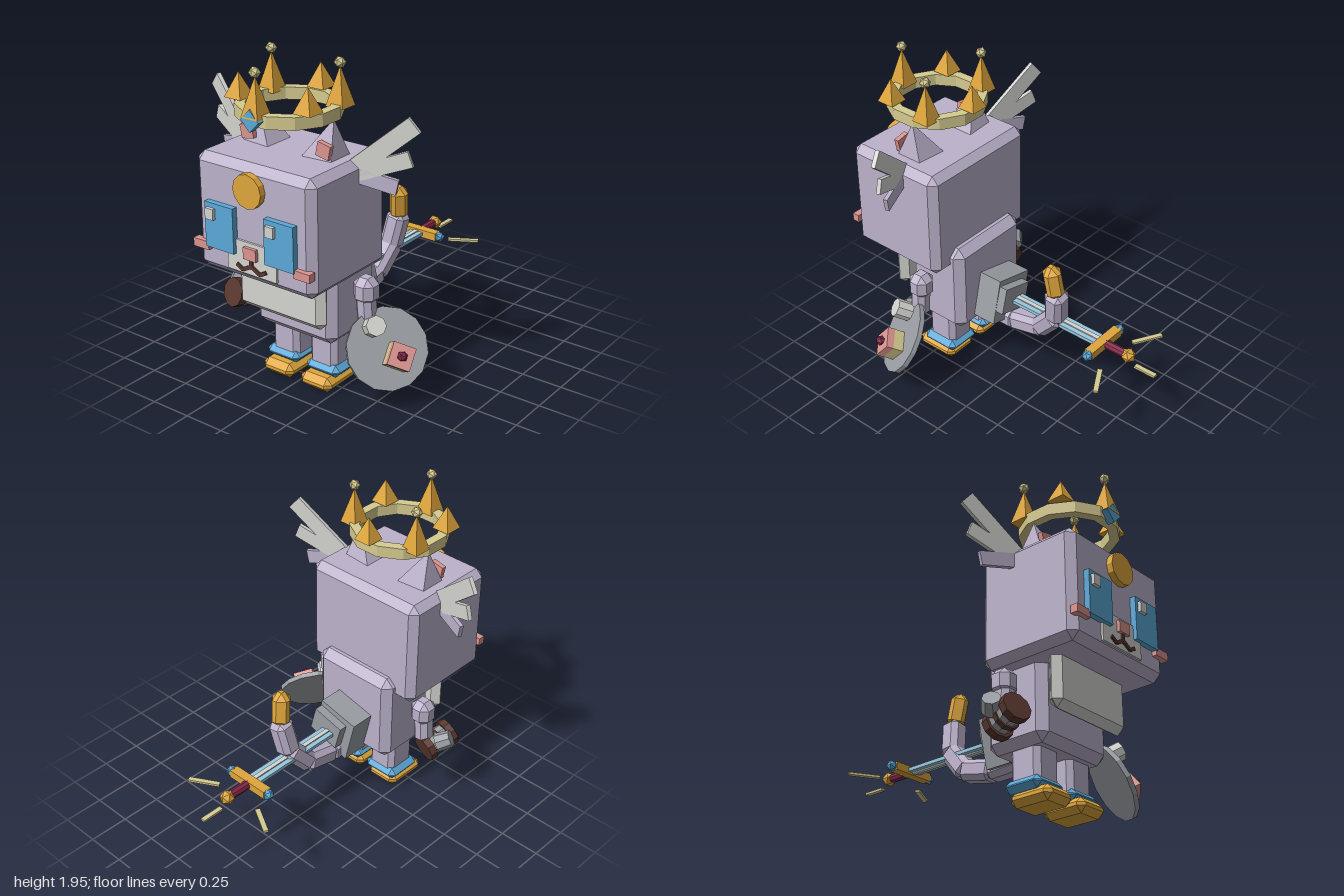
import * as THREE from 'three';
import { ConvexGeometry } from 'three/addons/geometries/ConvexGeometry.js';

const mat = (name, color) => {
  const m = new THREE.MeshStandardMaterial({ color });
  m.name = name;
  return m;
};
const V = (x, y, z) => new THREE.Vector3(x, y, z);
const UP = V(0, 1, 0);

// flat facets
const flat = (g) => {
  const f = g.index ? g.toNonIndexed() : g;
  f.computeVertexNormals();
  return f;
};
const box = (w, h, d) => new THREE.BoxGeometry(w, h, d);
const cyl = (r1, r2, h, n) => flat(new THREE.CylinderGeometry(r1, r2, h, n));
const gem = (r) => new THREE.IcosahedronGeometry(r, 0);
const pyramid = (side, h) => flat(new THREE.ConeGeometry(side / Math.SQRT2, h, 4).rotateY(Math.PI / 4));

// box with all edges cut at 45 degrees
function chamferBox(w, h, d, c) {
  const pts = [];
  const cut = Math.min(c, 0.48 * Math.min(w, h, d));
  for (const sx of [-1, 1]) for (const sy of [-1, 1]) for (const sz of [-1, 1]) {
    for (let keep = 0; keep < 3; keep++) {
      const k = [w / 2, h / 2, d / 2].map((v, i) => (i === keep ? v : v - cut));
      pts.push(V(sx * k[0], sy * k[1], sz * k[2]));
    }
  }
  return flat(new ConvexGeometry(pts));
}

export function createModel() {
  const root = new THREE.Group();
  root.name = 'armouredCat';
  const fur = mat('lavender fur', 0xbcb2cb);
  const white = mat('pale grey', 0xd4d4d0);
  const blue = mat('blue', 0x5ba8d8);
  const gold = mat('gold', 0xdfa63c);
  const cream = mat('cream yellow', 0xd6cb90);
  const pink = mat('pink', 0xdc9490);
  const brown = mat('dark brown', 0x5a3830);
  const maroon = mat('maroon', 0x85294a);
  const steel = mat('steel grey', 0x9a9ea3);
  const ice = mat('pale blue', 0x98c8de);

  const add = (name, geo, material, x, y, z, rz = 0, parent = root) => {
    const m = new THREE.Mesh(geo, material);
    m.name = name;
    m.position.set(x, y, z);
    m.rotation.z = rz;
    parent.add(m);
    return m;
  };
  // part whose y axis runs from a to b
  const between = (name, a, b, geoOfLength, material) => {
    const dir = b.clone().sub(a);
    const mid = a.clone().add(b).multiplyScalar(0.5);
    const m = add(name, geoOfLength(dir.length()), material, mid.x, mid.y, mid.z);
    m.quaternion.setFromUnitVectors(UP, dir.normalize());
    return m;
  };

  // head and body
  add('head', chamferBox(0.81, 0.675, 0.65, 0.045), fur, 0, 1.1, 0.617);
  add('body', chamferBox(0.57, 0.58, 0.41, 0.05), fur, 0, 0.61, 0.425);
  add('bib', chamferBox(0.61, 0.38, 0.09, 0.042), white, 0, 0.66, 0.705);

  // face
  add('muzzle', box(0.34, 0.185, 0.02), white, 0, 0.91, 0.945);
  add('nose', box(0.088, 0.068, 0.03), pink, 0, 0.945, 0.96);
  add('mouthLine', box(0.022, 0.06, 0.02), brown, 0, 0.885, 0.955);
  add('foreheadDisc', cyl(0.097, 0.097, 0.04, 12).rotateX(Math.PI / 2), gold, 0, 1.305, 0.96);
  for (const s of [-1, 1]) {
    add('eye', box(0.198, 0.262, 0.035), blue, s * 0.206, 1.05, 0.96);
    add('eyeHighlight', box(0.057, 0.063, 0.02), white, s * 0.208 - 0.05, 1.122, 0.988);
    add('cheek', box(0.11, 0.048, 0.045), pink, s * 0.35, 0.915, 0.948);
    add('mouthInner', box(0.065, 0.022, 0.02), brown, s * 0.03, 0.855, 0.955, -s * 0.5);
    add('mouthOuter', box(0.05, 0.022, 0.02), brown, s * 0.08, 0.85, 0.955, s * 0.5);
  }

  for (const s of [-1, 1]) {
    // ears
    const ear = add('ear', pyramid(0.25, 0.3), fur, s * 0.23, 1.5, 0.57, -s * 0.2);
    ear.rotation.order = 'ZYX';
    add('innerEar', box(0.085, 0.08, 0.03), pink, s * 0.262, 1.497, 0.655, -s * 0.2);

    // head feathers, swept backwards
    const wing = new THREE.Group();
    wing.name = 'headFeathers';
    wing.position.set(s * 0.385, 1.38, 0.54);
    wing.rotation.y = s * 0.32;
    root.add(wing);
    for (const [len, width, angle, y, m] of [
      [0.41, 0.1, 0.7, 0.02, white], [0.315, 0.088, 0.36, -0.015, white], [0.23, 0.085, -0.2, -0.025, fur],
    ]) {
      const mid = len / 2;
      add('feather', box(len, width, 0.025), m, s * mid * Math.cos(angle), y + mid * Math.sin(angle), 0, s * angle, wing);
    }

    // legs and boots
    add('leg', chamferBox(0.19, 0.34, 0.2, 0.03), fur, s * 0.137, 0.24, 0.445);
    add('bootCuff', chamferBox(0.238, 0.075, 0.25, 0.034), blue, s * 0.145, 0.118, 0.445);
    add('foot', chamferBox(0.22, 0.09, 0.28, 0.035), gold, s * 0.138, 0.05, 0.487);

    // arms
    add('shoulder', chamferBox(0.135, 0.16, 0.135, 0.04), fur, s * 0.38, 0.645, 0.445);
    add('forearm', chamferBox(0.105, 0.25, 0.11, 0.03), fur, s * 0.385, 0.555, 0.45, s * 0.08);
  }

  // crown
  const ringPoints = (r) => Array.from({ length: 12 }, (_, i) => {
    const a = (i + 0.5) * Math.PI / 6;
    return new THREE.Vector2(r * Math.cos(a), r * Math.sin(a));
  });
  const band = new THREE.Shape(ringPoints(0.293));
  band.holes.push(new THREE.Path(ringPoints(0.235)));
  const bandGeo = new THREE.ExtrudeGeometry(band, { depth: 0.07, bevelEnabled: false }).rotateX(-Math.PI / 2);
  add('crownBand', bandGeo, cream, 0, 1.64, 0.617);
  for (let i = 0; i < 6; i++) {
    const a = i * Math.PI / 3;
    const x = 0.27 * Math.sin(a), z = 0.615 + 0.27 * Math.cos(a);
    const tall = i % 2 === 0;
    const h = tall ? 0.22 : 0.14;
    add('crownSpike', pyramid(0.113, h), gold, x, (tall ? 1.69 : 1.72) + h / 2, z);
    if (tall) add('crownBead', gem(0.033), cream, x, 1.927, z);
  }
  add('crownGem', box(0.087, 0.087, 0.045), blue, 0, 1.68, 0.917, Math.PI / 4);

  // shield, with the snack resting on its tilted face
  const n = V(0.68, 0.5, 0.53).normalize();
  const shield = new THREE.Group();
  shield.name = 'shield';
  shield.position.set(0.535, 0.335, 0.463);
  shield.quaternion.setFromUnitVectors(UP, n);
  root.add(shield);
  add('shieldDisc', cyl(0.235, 0.235, 0.03, 14), steel, 0, 0, 0, 0, shield);
  const toShield = shield.quaternion.clone().invert();
  const local = (p) => p.sub(shield.position).applyQuaternion(toShield);
  const c = local(V(0.595, 0.297, 0.453));
  const snack = new THREE.Group();
  snack.name = 'cake';
  snack.position.set(c.x, 0.015, c.z);
  snack.rotation.y = 0.45;
  shield.add(snack);
  add('cakeBase', box(0.13, 0.065, 0.13), cream, 0, 0.032, 0, 0, snack);
  add('cakeIcing', box(0.132, 0.045, 0.132), pink, 0, 0.087, 0, 0, snack);
  add('cherry', gem(0.031), maroon, 0, 0.122, 0, 0, snack);
  const hand = local(V(0.48, 0.475, 0.51));
  add('leftPaw', cyl(0.058, 0.058, 0.11, 8), white, hand.x, hand.y, hand.z, 0, shield);

  // right paw and small mallet
  between('rightPaw', V(-0.49, 0.45, 0.46), V(-0.555, 0.49, 0.51), (l) => cyl(0.052, 0.058, l, 8), steel);
  const front = V(-0.465, 0.445, 0.61), back = V(-0.42, 0.385, 0.42);
  const along = (t) => front.clone().lerp(back, t);
  between('malletCore', along(0.9), along(0.1), (l) => cyl(0.07, 0.07, l, 10), steel);
  for (const [t0, t1, r] of [[0, 0.22, 0.088], [0.45, 0.58, 0.08], [0.78, 1, 0.088]]) {
    between('malletBand', along(t1), along(t0), (l) => cyl(r, r, l, 10), brown);
  }

  // pack
  add('pack', box(0.27, 0.29, 0.17), steel, 0, 0.505, 0.152, 0.23);
  add('packPocket', box(0.21, 0.165, 0.06), steel, 0.02, 0.535, 0.044, 0.26);

  // tail
  const tail = [V(0, 0.37, 0.24), V(0, 0.365, 0.03), V(0, 0.41, -0.17), V(0.02, 0.56, -0.3), V(0.055, 0.75, -0.325)];
  for (let i = 0; i < 4; i++) {
    between('tailSegment', tail[i], tail[i + 1], (l) => chamferBox(0.125, l + 0.04, 0.125, 0.03), fur);
  }
  between('tailTip', V(0.055, 0.73, -0.325), V(0.075, 0.95, -0.293), (l) => chamferBox(0.115, l, 0.115, 0.042), gold);

  // sword
  add('blade', box(0.09, 0.022, 0.7), ice, 0, 0.52, -0.25);
  add('bladeRidge', box(0.028, 0.036, 0.68), white, 0, 0.52, -0.26);
  add('guard', box(0.28, 0.05, 0.058), gold, 0, 0.52, -0.63);
  for (const s of [-1, 1]) add('guardBead', gem(0.034), blue, s * 0.152, 0.52, -0.632);
  add('grip', cyl(0.027, 0.027, 0.15, 8).rotateX(Math.PI / 2), maroon, 0, 0.52, -0.725);
  add('pommel', gem(0.045), gold, 0, 0.52, -0.81);

  // rays around the pommel
  add('ray', box(0.03, 0.014, 0.14), cream, 0, 0.47, -0.93);
  for (const s of [-1, 1]) {
    add('ray', box(0.19, 0.014, 0.03), cream, s * 0.24, 0.47, -0.773).rotation.y = s * 0.51;
  }
  return root;
}
